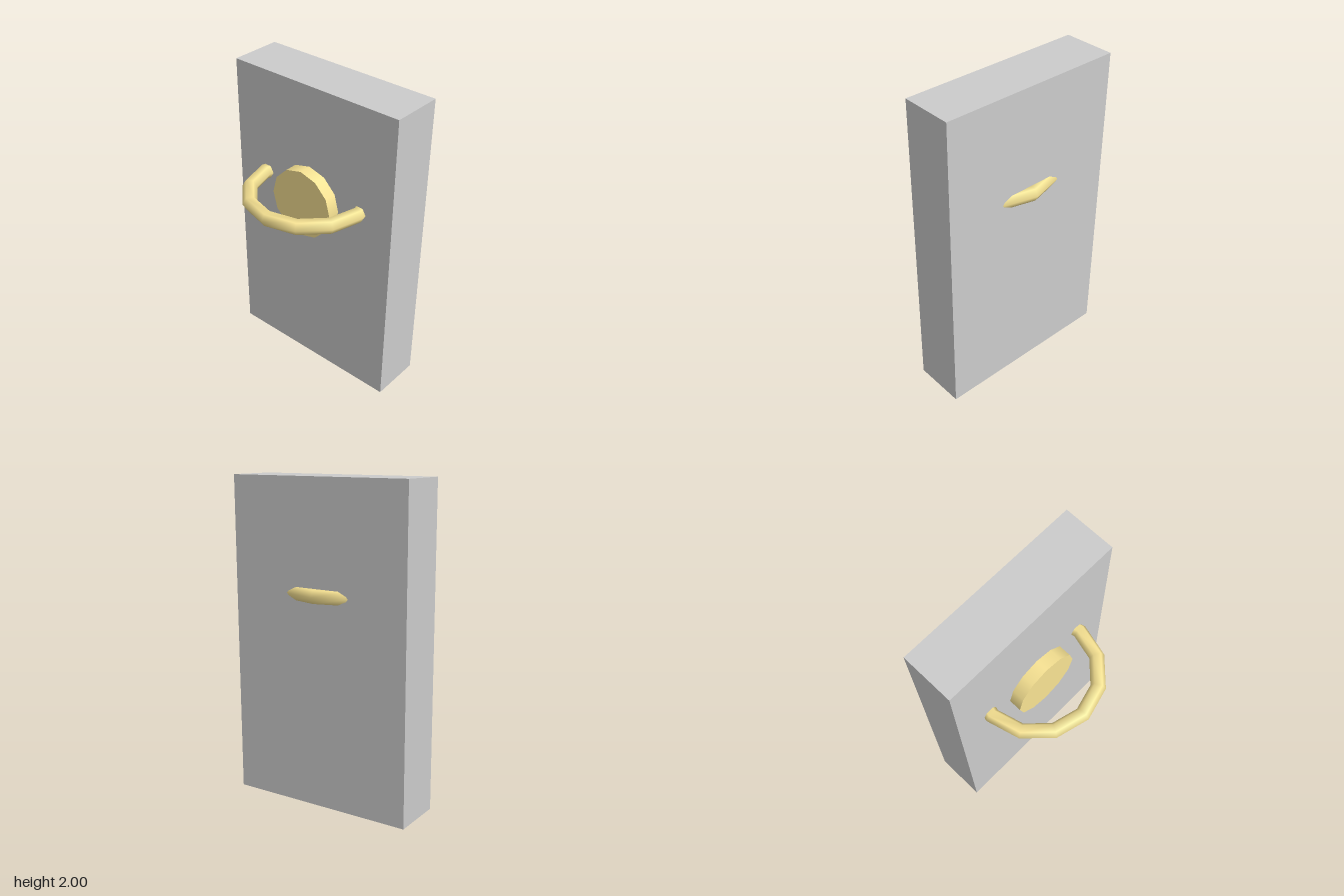
import * as THREE from 'three';

export function createModel() {
  const group = new THREE.Group();
  const grey = new THREE.MeshStandardMaterial({ color: 0xcccccc });
  const gold = new THREE.MeshStandardMaterial({ color: 0xf8e393 });

  const add = (name, geometry, material, y, z) => {
    const mesh = new THREE.Mesh(geometry, material);
    mesh.name = name;
    mesh.position.set(0, y, z);
    group.add(mesh);
    return mesh;
  };

  // Upright slab
  add('slab', new THREE.BoxGeometry(1.2, 2, 0.333), grey, 1, -0.188);

  // Twelve-sided disc just in front of the slab
  const disc = new THREE.CylinderGeometry(0.225, 0.225, 0.08, 12);
  disc.rotateX(-Math.PI / 2);
  add('disc', disc, gold, 1.27, 0.04);

  // Horizontal ring passing through the slab
  const ring = new THREE.TorusGeometry(0.371, 0.0465, 6, 12);
  ring.rotateX(Math.PI / 2);
  add('ring', ring, gold, 1.315, 0);

  return group;
}
